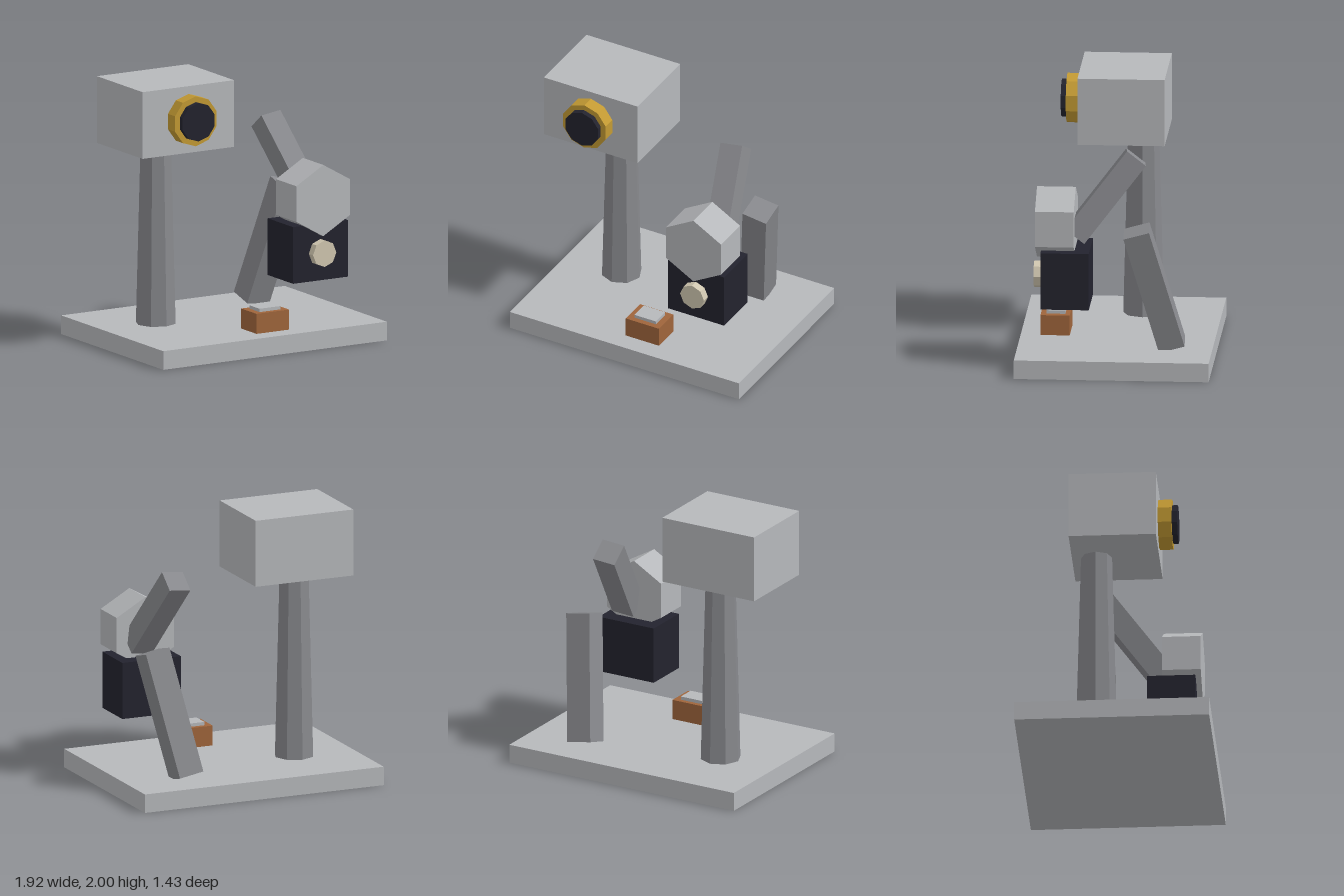
import * as THREE from 'three';

const mat = (name, color) => {
  const m = new THREE.MeshStandardMaterial({ color, flatShading: true });
  m.name = name;
  return m;
};

export function createModel() {
  const model = new THREE.Group();
  model.name = 'model';

  const paleGrey = mat('pale grey', 0xb6b8bb);
  const steel = mat('steel grey', 0x88898d);
  const gold = mat('gold', 0xc39a33);
  const dark = mat('dark navy', 0x23232e);
  const brown = mat('brown', 0x9f653b);
  const cream = mat('cream', 0xd0c7b0);

  const add = (name, geometry, material, x, y, z) => {
    const mesh = new THREE.Mesh(geometry, material);
    mesh.name = name;
    mesh.position.set(x, y, z);
    model.add(mesh);
    return mesh;
  };
  // Box given by its extents on each axis
  const box = (name, material, [x0, x1], [y0, y1], [z0, z1]) =>
    add(name, new THREE.BoxGeometry(x1 - x0, y1 - y0, z1 - z0), material,
      (x0 + x1) / 2, (y0 + y1) / 2, (z0 + z1) / 2);
  // Faceted prism facing forward, with a corner at the top
  const prism = (name, material, radius, sides, x, y, z0, z1) =>
    add(name, new THREE.CylinderGeometry(radius, radius, z1 - z0, sides).rotateX(Math.PI / 2),
      material, x, y, (z0 + z1) / 2);
  // Square beam tilted about x and z
  const beam = (name, width, length, [x, y, z], tiltX, tiltZ) =>
    add(name, new THREE.BoxGeometry(width, length, width), steel, x, y, z)
      .rotation.set(tiltX, 0, tiltZ);

  // Base slab
  box('base', paleGrey, [-0.96, 0.96], [0, 0.14], [-0.715, 0.715]);

  // Tapered post carrying the head and its lens
  add('post', new THREE.CylinderGeometry(0.114, 0.15, 1.38, 8), steel, -0.5, 0.82, -0.14);
  box('head', paleGrey, [-0.895, -0.11], [1.5, 2], [-0.32, 0.32]);
  prism('lensRing', gold, 0.187, 10, -0.5, 1.755, 0.3, 0.42);
  prism('lens', dark, 0.144, 10, -0.5, 1.755, 0.4, 0.46);

  // Hanging body with hexagonal cap and round knob
  box('body', dark, [0.265, 0.735], [0.47, 0.895], [0.18, 0.535]);
  prism('hexCap', paleGrey, 0.267, 6, 0.5, 1.075, 0.29, 0.575);
  prism('knob', cream, 0.1, 8, 0.5, 0.68, 0.52, 0.595);

  // Leaning arms
  beam('lowerArm', 0.195, 0.943, [0.57, 0.607, -0.29], 0.273, -0.17);
  beam('upperArm', 0.175, 0.732, [0.505, 1.277, 0.073], -0.662, 0.145);

  // Small block with a plate on top
  box('block', brown, [-0.07, 0.21], [0.14, 0.29], [0.355, 0.57]);
  box('blockPlate', paleGrey, [-0.02, 0.16], [0.28, 0.315], [0.39, 0.53]);

  return model;
}
